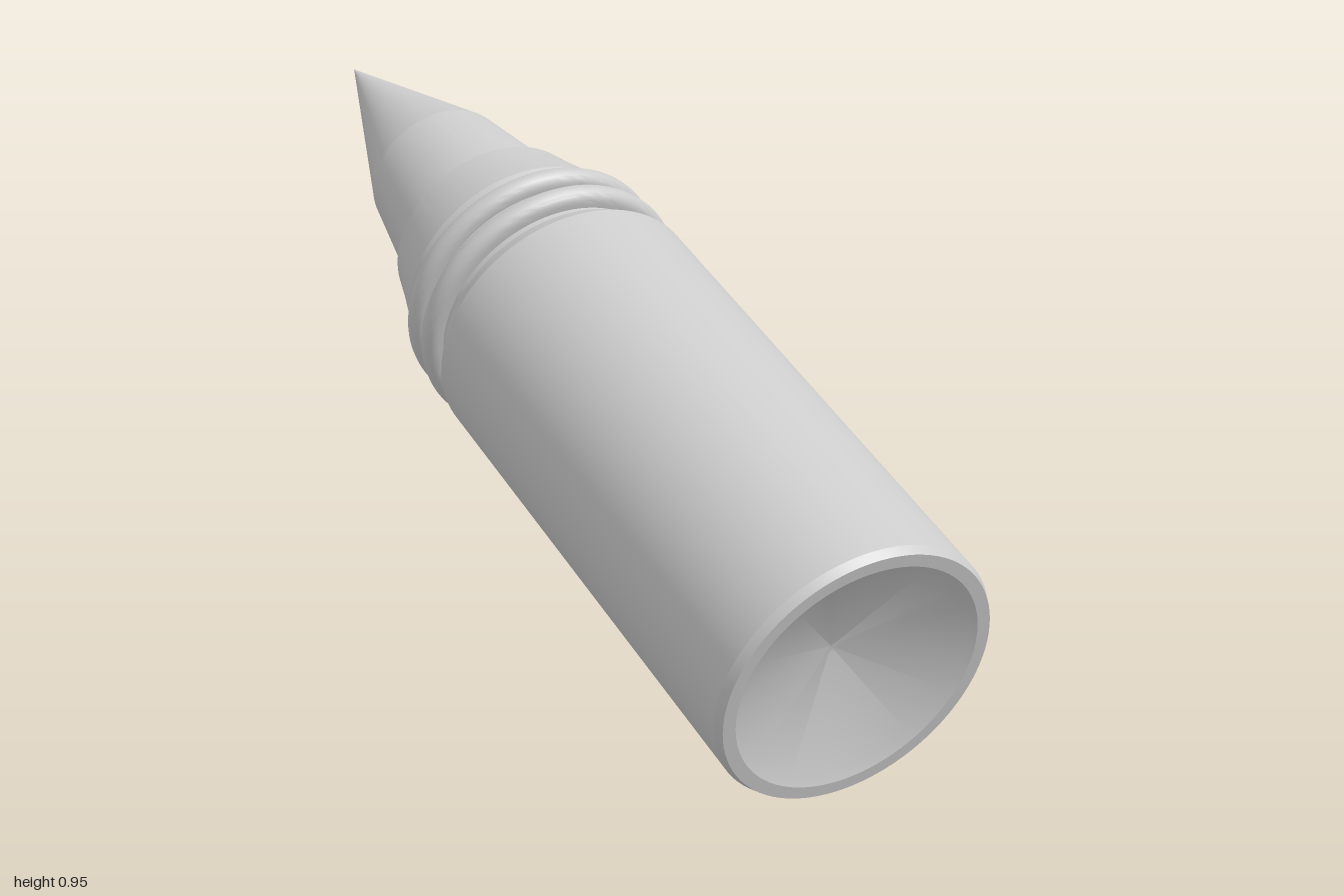
import * as THREE from 'three';
import { toCreasedNormals } from 'three/addons/utils/BufferGeometryUtils.js';

const grey = new THREE.MeshStandardMaterial({ color: 0xcccccc, side: THREE.DoubleSide });

// Turned part from [radius, height] pairs
function turned(name, profile, phiStart = 0, phiLength = Math.PI * 2) {
  const points = profile.map(([r, h]) => new THREE.Vector2(r, h));
  const geometry = new THREE.LatheGeometry(points, 96, phiStart, phiLength);
  const mesh = new THREE.Mesh(toCreasedNormals(geometry, 0.4), grey);
  mesh.name = name;
  return mesh;
}

export function createModel() {
  const model = new THREE.Group();
  model.name = 'pointedBottle';

  // Straight body with a hollow conical base and a bevelled shoulder
  model.add(turned('body', [
    [0, 0.09], [0.012, 0.09], [0.234, 0.008], [0.25, 0], [0.276, 0], [0.284, 0.018],
    [0.284, 1.105], [0.262, 1.142], [0.25, 1.15], [0.25, 1.17],
  ]));

  // Two rounded sealing rings on the neck
  model.add(turned('neckCore', [[0.25, 1.15], [0.25, 1.32]]));
  for (const [name, h, r] of [['lowerRing', 1.19, 0.284], ['upperRing', 1.262, 0.279]]) {
    const profile = [];
    for (let i = 0; i <= 10; i++) {
      const a = -Math.PI / 2 + (i / 10) * Math.PI;
      profile.push([r - 0.024 + 0.024 * Math.cos(a), h + 0.024 * Math.sin(a)]);
    }
    profile.unshift([0.248, h - 0.024]);
    profile.push([0.248, h + 0.024]);
    model.add(turned(name, profile));
  }

  // Tapered collar, with a lip that is notched on one side
  model.add(turned('collar', [[0.25, 1.3], [0.253, 1.315], [0.226, 1.405], [0.19, 1.405]]));
  const half = 0.65;
  const lip = [[0.226, 1.405], [0.213, 1.455], [0.19, 1.455], [0.19, 1.405]];
  model.add(turned('collarLip', lip, Math.PI / 2 + half, Math.PI * 2 - half * 2));
  const capShape = new THREE.Shape(lip.map(([r, h]) => new THREE.Vector2(r, h)));
  for (const side of [-1, 1]) {
    const cap = new THREE.Mesh(new THREE.ShapeGeometry(capShape), grey);
    cap.name = 'lipEnd';
    cap.rotation.y = side * half;
    model.add(cap);
  }

  // Tapered nozzle ending in a sharp cone
  model.add(turned('nozzle', [[0.2, 1.4], [0.195, 1.46], [0.153, 1.7]]));
  model.add(turned('tip', [[0.153, 1.7], [0.0005, 2.127]]));

  // Fine rib on the nozzle beside the notch
  const rib = new THREE.Mesh(new THREE.BoxGeometry(0.01, 0.1, 0.004), grey);
  rib.name = 'nozzleRib';
  rib.position.set(0.187, 1.49, 0.02);
  rib.rotation.z = 0.174;
  model.add(rib);

  // Lay the long axis along its tilted direction
  const axis = new THREE.Vector3(-0.356, 0.321, -0.877).normalize();
  const sideways = new THREE.Vector3(1, 0, 0).addScaledVector(axis, -axis.x).normalize();
  const third = new THREE.Vector3().crossVectors(sideways, axis);
  model.quaternion.setFromRotationMatrix(new THREE.Matrix4().makeBasis(sideways, axis, third));
  model.position.set(0.245, 0.267, 0.867);

  const root = new THREE.Group();
  root.name = 'model';
  root.add(model);
  return root;
}
